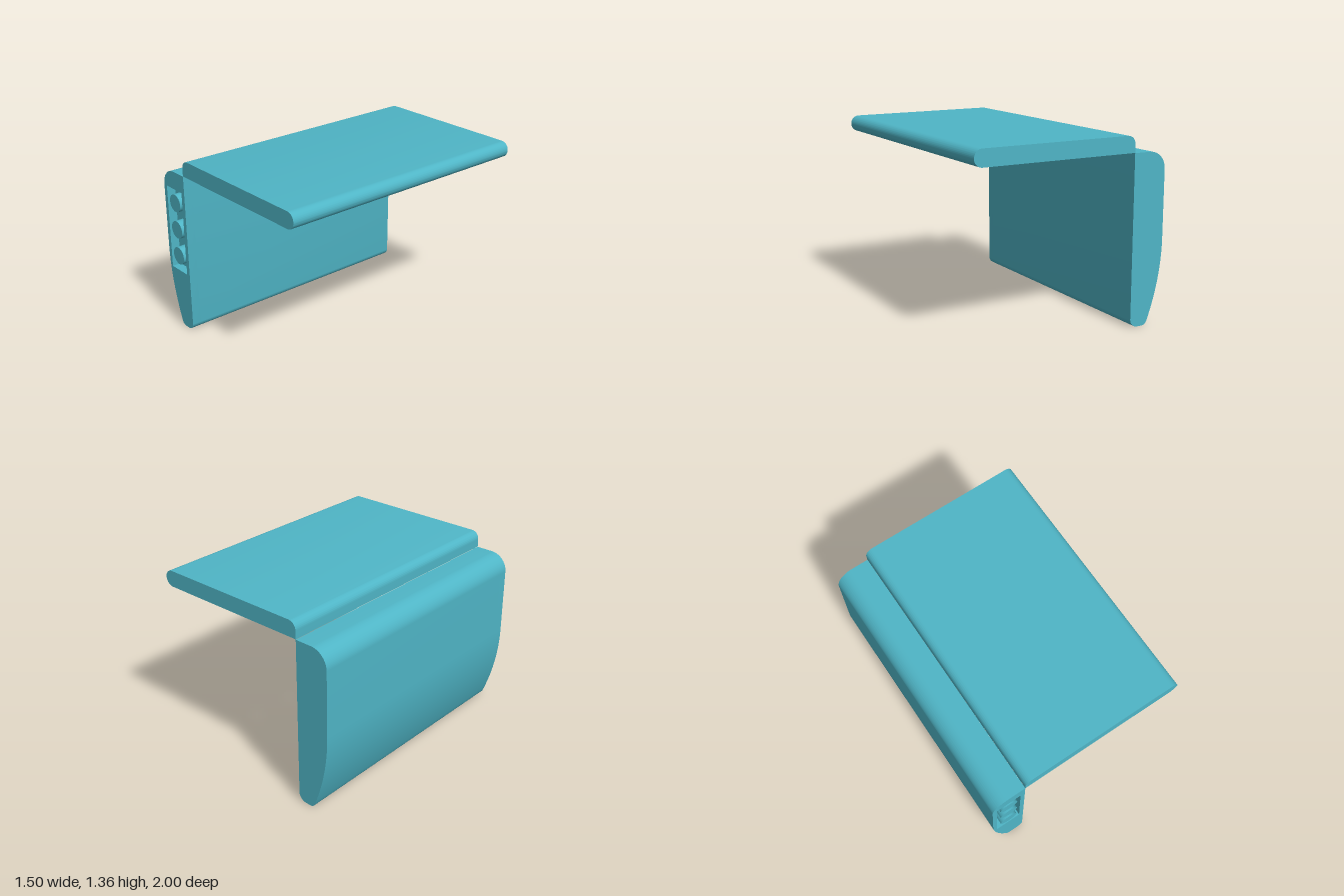
import * as THREE from 'three';
import { toCreasedNormals } from 'three/addons/utils/BufferGeometryUtils.js';

export function createModel() {
  const model = new THREE.Group();
  model.name = 'foldingDevice';
  const teal = new THREE.MeshStandardMaterial({ color: 0x4fb5c6 });
  teal.name = 'teal';

  const add = (name, geometry, x = 0, y = 0, z = 0) => {
    const mesh = new THREE.Mesh(geometry, teal);
    mesh.name = name;
    mesh.position.set(x, y, z);
    model.add(mesh);
  };
  // Straight extrusion along z with smooth rounded edges
  const extrude = (shape, z0, z1) => {
    const g = new THREE.ExtrudeGeometry(shape, { depth: z1 - z0, bevelEnabled: false, curveSegments: 20 });
    return toCreasedNormals(g.translate(0, 0, z0), 0.5);
  };

  // Upright base profile: round shoulder, tapering outer side, rounded foot
  const bodyShape = () => {
    const s = new THREE.Shape();
    s.moveTo(-0.49, 1.237);
    s.lineTo(-0.62, 1.237);
    s.absarc(-0.62, 1.107, 0.13, Math.PI / 2, Math.PI, false);
    s.lineTo(-0.75, 0.62);
    s.quadraticCurveTo(-0.75, 0.33, -0.633, 0.03);
    s.quadraticCurveTo(-0.62, 0, -0.59, 0);
    s.lineTo(-0.55, 0);
    s.absarc(-0.55, 0.06, 0.06, -Math.PI / 2, 0, false);
    s.closePath();
    return s;
  };
  const front = 0.998, floor = 0.93;
  add('base', extrude(bodyShape(), -1, floor));

  // Front end of the base, with a rectangular button recess
  const framed = bodyShape();
  framed.holes.push(new THREE.Path([
    [-0.717, 0.457], [-0.717, 1.103], [-0.525, 1.103], [-0.525, 0.457],
  ].map(([x, y]) => new THREE.Vector2(x, y))));
  add('buttonFrame', extrude(framed, floor, front));

  // Three round buttons standing in the recess
  const button = new THREE.CylinderGeometry(0.067, 0.067, 1 - floor, 40).rotateX(Math.PI / 2);
  for (const y of [0.577, 0.786, 0.995]) add('button', button, -0.618, y, (1 + floor) / 2);

  // Horizontal lid: rounded upper hinge edge, fully round free edge
  const lid = new THREE.Shape();
  lid.moveTo(-0.49, 1.239);
  lid.lineTo(0.69, 1.239);
  lid.absarc(0.69, 1.299, 0.06, -Math.PI / 2, Math.PI / 2, false);
  lid.lineTo(-0.43, 1.359);
  lid.absarc(-0.43, 1.299, 0.06, Math.PI / 2, Math.PI, false);
  lid.closePath();
  add('lid', extrude(lid, -1, front));

  // Thin panel on the underside of the lid
  add('lidPanel', new THREE.BoxGeometry(1, 0.004, 1.84), 0.08, 1.239, 0);

  return model;
}
